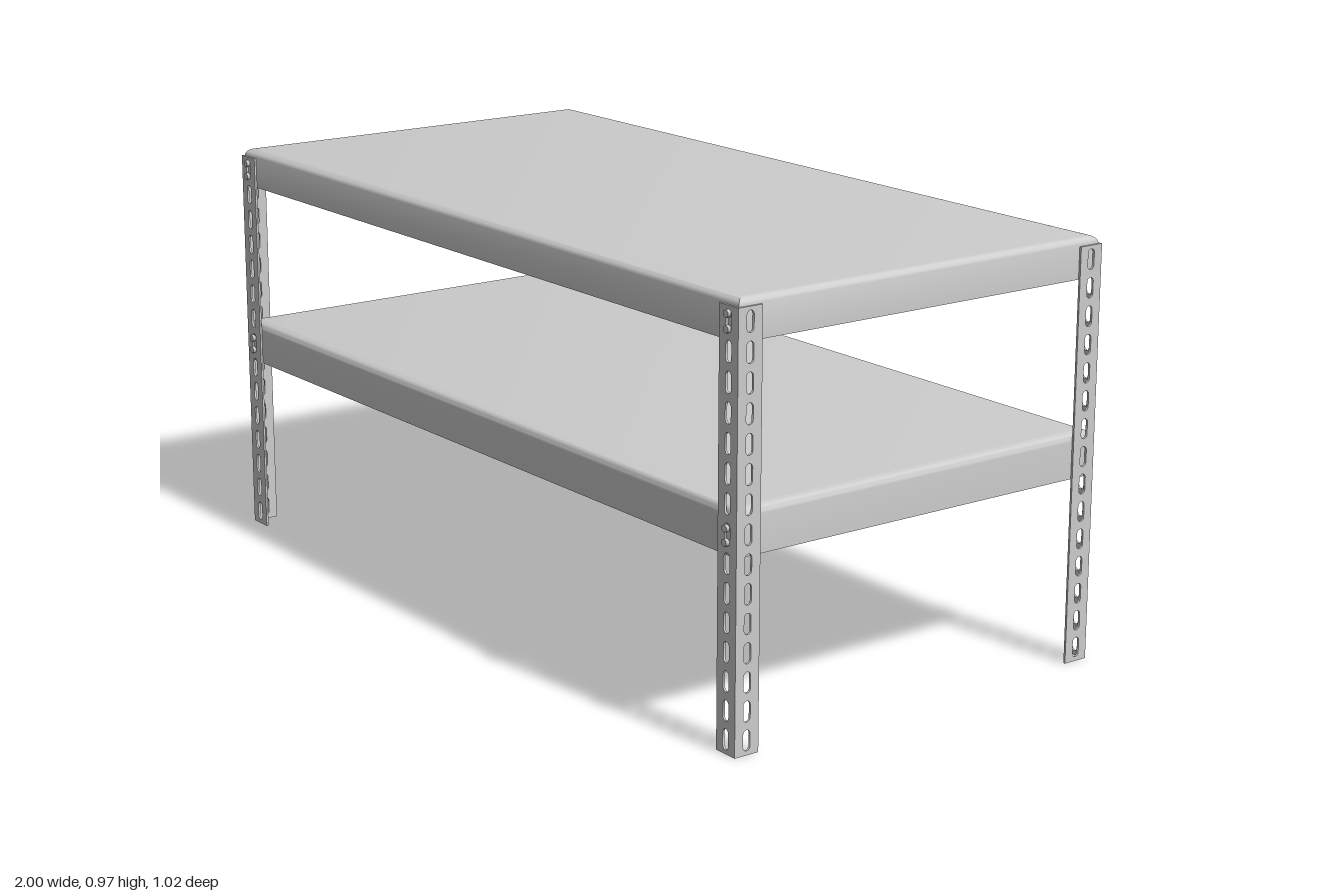
import * as THREE from 'three';
import { toCreasedNormals } from 'three/addons/utils/BufferGeometryUtils.js';

const HALF_X = 1, HALF_Z = 0.5;      // outer faces of the legs
const LEG_H = 0.953, LEG_W = 0.062, SHEET = 0.005;
const SLOT_PITCH = 0.0635, SLOT_COUNT = 15;

const material = new THREE.MeshStandardMaterial({ color: 0xcccccc });

function addMesh(parent, geometry, name, x = 0, y = 0, z = 0) {
  const mesh = new THREE.Mesh(geometry, material);
  mesh.name = name;
  mesh.position.set(x, y, z);
  parent.add(mesh);
  return mesh;
}

// Flat strip of sheet steel, punched with a row of rounded slots
function flangeGeometry() {
  const w = LEG_W / 2, r = 0.009, half = 0.014;
  const shape = new THREE.Shape();
  shape.moveTo(-w, 0).lineTo(w, 0).lineTo(w, LEG_H).lineTo(-w, LEG_H).closePath();
  for (let i = 0; i < SLOT_COUNT; i++) {
    const y = 0.033 + i * SLOT_PITCH;
    const slot = new THREE.Path();
    slot.absarc(0, y + half, r, 0, Math.PI);
    slot.absarc(0, y - half, r, Math.PI, Math.PI * 2);
    slot.closePath();
    shape.holes.push(slot);
  }
  const geometry = new THREE.ExtrudeGeometry(shape, { depth: SHEET, bevelEnabled: false, curveSegments: 6 });
  geometry.translate(0, 0, -SHEET / 2);
  return toCreasedNormals(geometry, 0.7);
}

// Folded tray: flat deck, rounded bend, skirt and a small return lip.
// The profile lists [inset, height] from the deck underside round to the deck top.
function trayGeometry(bottom, top) {
  const X = HALF_X - SHEET, Z = HALF_Z - SHEET;
  const bend = 0.02, lip = 0.015;
  const profile = [
    [bend, top - SHEET], [SHEET, top - bend], [SHEET, bottom + SHEET],
    [lip, bottom + SHEET], [lip, bottom], [0, bottom],
  ];
  for (let i = 0; i <= 6; i++) {
    const a = (i / 6) * Math.PI / 2;
    profile.push([bend * (1 - Math.cos(a)), top - bend + bend * Math.sin(a)]);
  }
  const rings = profile.map(([d, y]) =>
    [[1, 1], [1, -1], [-1, -1], [-1, 1]].map(([sx, sz]) => [sx * (X - d), y, sz * (Z - d)]));
  const positions = [];
  const quad = (a, b, c, d) => positions.push(...a, ...b, ...c, ...a, ...c, ...d);
  for (let i = 0; i < rings.length - 1; i++) {
    for (let k = 0; k < 4; k++) {
      const n = (k + 1) % 4;
      quad(rings[i][k], rings[i][n], rings[i + 1][n], rings[i + 1][k]);
    }
  }
  quad(...rings[rings.length - 1]);
  quad(...[...rings[0]].reverse());
  const geometry = new THREE.BufferGeometry();
  geometry.setAttribute('position', new THREE.Float32BufferAttribute(positions, 3));
  return toCreasedNormals(geometry, 0.6);
}

export function createModel() {
  const model = new THREE.Group();
  model.name = 'shelfTable';

  // Two shelves
  addMesh(model, trayGeometry(0.88, 0.971), 'topShelf');
  addMesh(model, trayGeometry(0.43, 0.535), 'lowerShelf');

  // Four angle legs with bolts through the shelf skirts
  const flange = flangeGeometry();
  const head = new THREE.CylinderGeometry(0.009, 0.009, 0.008, 6).rotateX(Math.PI / 2);
  const shank = new THREE.CylinderGeometry(0.005, 0.005, 0.026, 10).rotateX(Math.PI / 2);
  for (const sx of [1, -1]) {
    for (const sz of [1, -1]) {
      const leg = new THREE.Group();
      leg.name = (sz > 0 ? 'front' : 'back') + (sx > 0 ? 'Left' : 'Right') + 'Leg';
      model.add(leg);
      const boltX = sx * (HALF_X - LEG_W / 2), faceZ = sz * HALF_Z;
      addMesh(leg, flange, 'longSideFlange', boltX, 0, sz * (HALF_Z - SHEET / 2));
      addMesh(leg, flange, 'shortSideFlange', sx * (HALF_X - SHEET / 2), 0, sz * (HALF_Z - LEG_W / 2))
        .rotation.y = Math.PI / 2;
      for (const y of [0.937, 0.905, 0.49, 0.46]) {
        addMesh(leg, head, 'boltHead', boltX, y, faceZ + sz * 0.004);
        addMesh(leg, shank, 'boltShank', boltX, y, faceZ - sz * 0.01);
        addMesh(leg, head, 'boltNut', boltX, y, faceZ - sz * 0.014);
      }
    }
  }
  return model;
}
